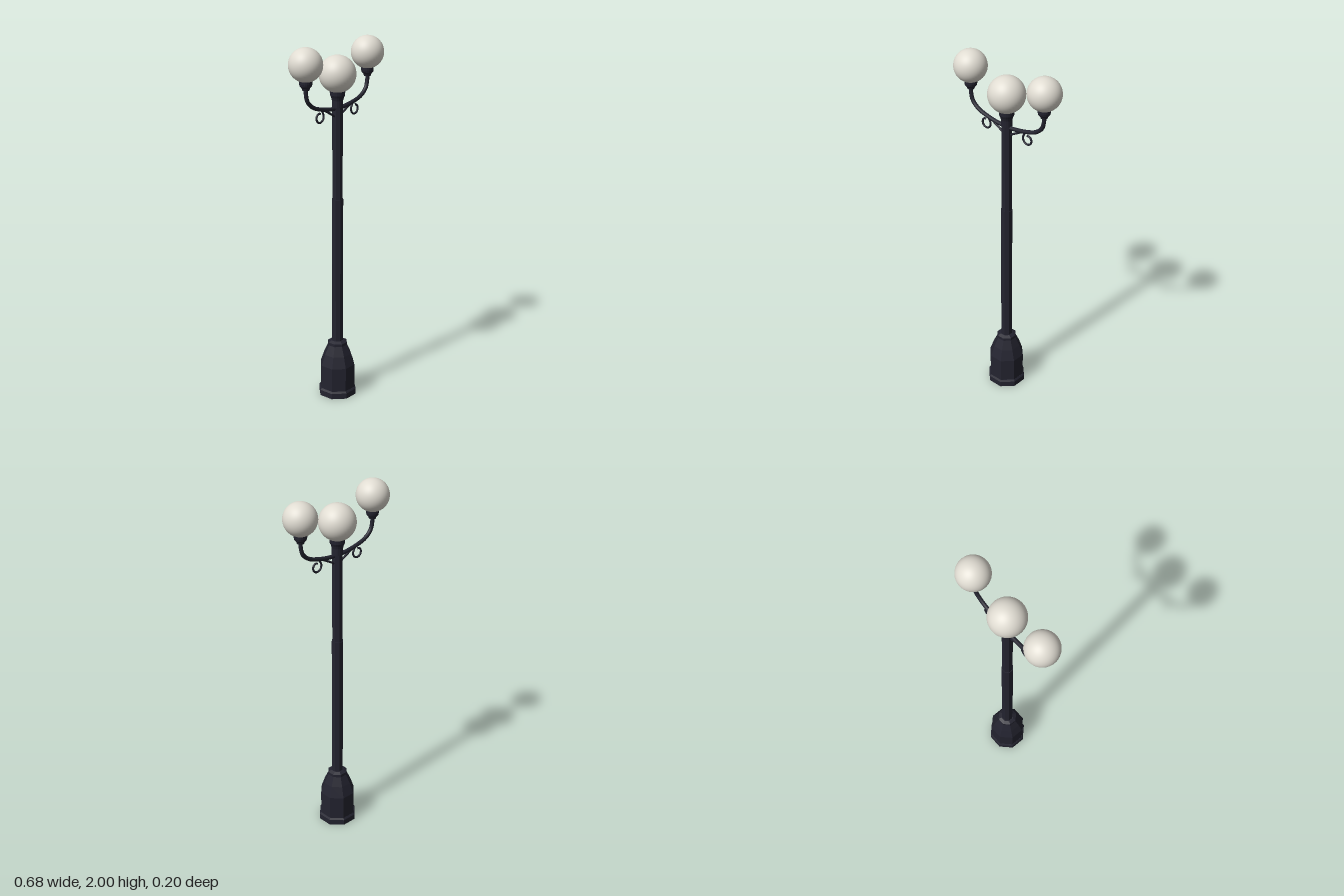
import * as THREE from 'three';

const iron = new THREE.MeshStandardMaterial({ color: 0x23232f });
iron.name = 'darkIron';
iron.flatShading = true;
const ironSmooth = iron.clone();
ironSmooth.flatShading = false;
const glass = new THREE.MeshStandardMaterial({ color: 0xe0dcd2 });
glass.name = 'opalGlass';

function add(parent, name, geometry, material) {
  const mesh = new THREE.Mesh(geometry, material);
  mesh.name = name;
  parent.add(mesh);
  return mesh;
}

// Octagonal turned part with flats facing the axes; radii are measured to the flats
function octagon(profile) {
  const k = 1 / Math.cos(Math.PI / 8);
  const points = profile.map(([r, y]) => new THREE.Vector2(r * k, y));
  return new THREE.LatheGeometry(points, 8, Math.PI / 8);
}

function turned(profile) {
  return new THREE.LatheGeometry(profile.map(([r, y]) => new THREE.Vector2(r, y)), 20);
}

function rod(points, radius, segments = 32) {
  const curve = new THREE.CatmullRomCurve3(points.map(([x, y]) => new THREE.Vector3(x, y, 0)));
  return new THREE.TubeGeometry(curve, segments, radius, 10);
}

// One branch: curved arm, strut, scroll, cup and globe
function createBranch(side) {
  const branch = new THREE.Group();
  branch.name = side > 0 ? 'leftBranch' : 'rightBranch';

  add(branch, 'arm', rod([
    [0, 1.647], [0.06, 1.65], [0.13, 1.662], [0.195, 1.683], [0.237, 1.719], [0.25, 1.765], [0.25, 1.8],
  ], 0.011), ironSmooth);
  add(branch, 'strut', rod([[0.015, 1.602], [0.06, 1.628], [0.12, 1.66]], 0.006, 12), ironSmooth);

  // Spiral winding down the inner side, under and back up
  const spiral = [[0.128, 1.66]];
  for (let i = 0; i <= 14; i++) {
    const t = i / 14;
    const a = Math.PI * (0.8 + 1.75 * t);
    const r = 0.031 - 0.012 * t * t;
    spiral.push([0.143 + r * Math.cos(a), 1.623 + r * Math.sin(a)]);
  }
  add(branch, 'scroll', rod(spiral, 0.0055, 48), ironSmooth);

  const cup = add(branch, 'globeCup', turned([
    [0, 1.782], [0.018, 1.782], [0.022, 1.793], [0.031, 1.803], [0.034, 1.815], [0.034, 1.832], [0, 1.832],
  ]), iron);
  const globe = add(branch, 'sideGlobe', new THREE.SphereGeometry(0.089, 40, 28), glass);
  cup.position.x = 0.25;
  globe.position.set(0.25, 1.911, 0);
  if (side < 0) branch.rotation.y = Math.PI;
  return branch;
}

export function createModel() {
  const model = new THREE.Group();
  model.name = 'streetLamp';

  // Stepped octagonal foot
  add(model, 'plinth', octagon([
    [0, 0], [0.1, 0], [0.1, 0.032], [0.093, 0.042], [0, 0.042],
  ]), iron);
  add(model, 'pedestal', octagon([
    [0.092, 0.04], [0.092, 0.18], [0.072, 0.243], [0.047, 0.302], [0, 0.302],
  ]), iron);
  add(model, 'collar', octagon([
    [0, 0.297], [0.051, 0.297], [0.051, 0.313], [0.034, 0.323], [0, 0.323],
  ]), iron);

  // Post in two diameters
  add(model, 'lowerPost', octagon([[0.03, 0.3], [0.03, 1.15], [0, 1.15]]), iron);
  add(model, 'upperPost', octagon([[0, 1.15], [0.027, 1.15], [0.027, 1.7], [0, 1.7]]), iron);

  // Centre lamp
  add(model, 'centreCup', turned([
    [0, 1.655], [0.03, 1.655], [0.03, 1.69], [0.034, 1.705], [0.04, 1.718], [0.041, 1.74], [0, 1.74],
  ]), iron);
  const globe = add(model, 'centreGlobe', new THREE.SphereGeometry(0.099, 40, 28), glass);
  globe.position.y = 1.829;

  for (const side of [1, -1]) model.add(createBranch(side));
  return model;
}
